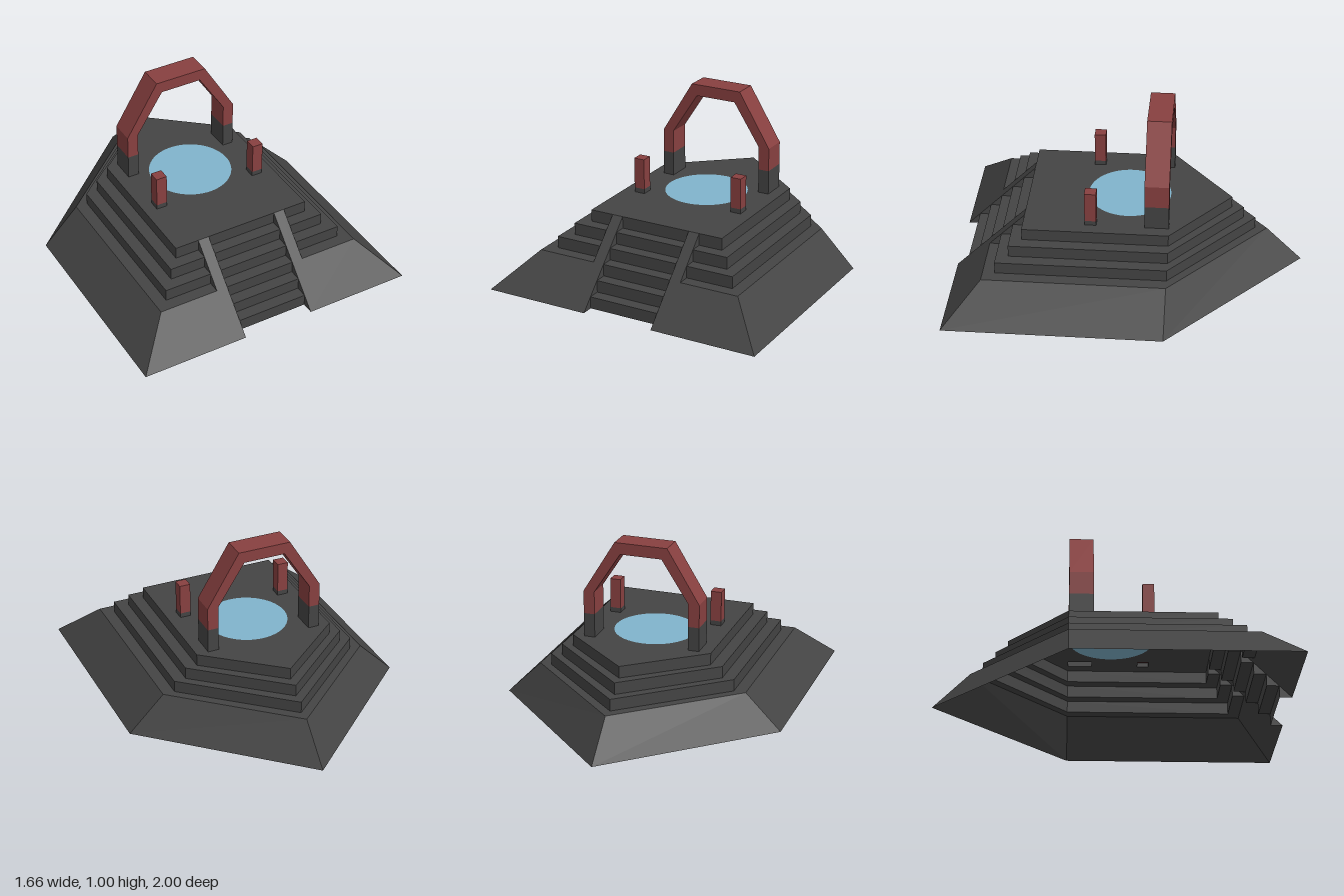
import * as THREE from 'three';

const U = 0.415 / 6;      // rise and run of one step
const TOP = 6 * U;        // height of the upper platform
const STAIR = 0.21;       // half width of the stairs
const CHEEK = 0.275;      // outer edge of the stair cheeks
const CORNER_Z = -0.24;   // where the pointed back begins

const mat = (name, color) => {
  const m = new THREE.MeshStandardMaterial({ color, side: THREE.DoubleSide });
  m.name = name;
  return m;
};

// Flat-shaded surface from a list of triangles and quads
function facets(faces) {
  const pos = [];
  for (const f of faces) {
    for (let i = 1; i < f.length - 1; i++) pos.push(...f[0], ...f[i], ...f[i + 1]);
  }
  const g = new THREE.BufferGeometry();
  g.setAttribute('position', new THREE.Float32BufferAttribute(pos, 3));
  g.computeVertexNormals();
  return g;
}

// Pointed outline at k steps in from the edge, open at the front by half width gap
function outline(k, level, gap) {
  const s = 1 - k * U, w = s - 0.17, y = level * U;
  return [[gap, y, s], [w, y, s], [w, y, CORNER_Z], [0, y, -s],
    [-w, y, CORNER_Z], [-w, y, s], [-gap, y, s]];
}

function band(lower, upper) {
  return lower.slice(0, -1).map((a, i) => [a, lower[i + 1], upper[i + 1], upper[i]]);
}

function rectPath(x, z, w, d) {
  const p = new THREE.Path();
  p.moveTo(x - w / 2, -z - d / 2);
  p.lineTo(x + w / 2, -z - d / 2);
  p.lineTo(x + w / 2, -z + d / 2);
  p.lineTo(x - w / 2, -z + d / 2);
  p.closePath();
  return p;
}

// Four walls without top or bottom
function walls(x, z, w, d, y0, y1) {
  const c = [[-1, 1], [1, 1], [1, -1], [-1, -1], [-1, 1]].map(([a, b]) => [x + a * w / 2, z + b * d / 2]);
  return facets(band(c.map(([a, b]) => [a, y0, b]), c.map(([a, b]) => [a, y1, b])));
}

export function createModel() {
  const model = new THREE.Group();
  const stone = mat('darkStone', 0x444444);
  const red = mat('redPaint', 0x884040);
  const water = mat('water', 0x80b4cc);
  const add = (name, geometry, material) => {
    const m = new THREE.Mesh(geometry, material);
    m.name = name;
    model.add(m);
    return m;
  };

  // Sloping base
  add('slopedBase', facets(band(outline(0, 0, STAIR), outline(3, 3, STAIR))), stone);

  // Three tiers, each a ledge and a riser
  for (let k = 3; k < 6; k++) {
    const inner = outline(k + 1, k, CHEEK);
    add('tier', facets([
      ...band(outline(k, k, CHEEK), inner),
      ...band(inner, outline(k + 1, k + 1, CHEEK)),
    ]), stone);
  }

  // Stairs
  const steps = [];
  for (let k = 0; k < 6; k++) {
    const y0 = k * U, y1 = y0 + U, z1 = 1 - y1, z2 = z1 - U;
    steps.push([[-STAIR, y0, z1], [STAIR, y0, z1], [STAIR, y1, z1], [-STAIR, y1, z1]]);
    if (k < 5) steps.push([[-STAIR, y1, z1], [STAIR, y1, z1], [STAIR, y1, z2], [-STAIR, y1, z2]]);
  }
  add('stairs', facets(steps), stone);

  // Sloping cheeks beside the stairs, with the small triangles on their sides
  for (const s of [1, -1]) {
    const faces = [];
    const z3 = 1 - 3 * U, z6 = 1 - TOP;
    const lo = Math.min(s * STAIR, s * CHEEK), hi = Math.max(s * STAIR, s * CHEEK);
    faces.push([[lo, 3 * U, z3], [hi, 3 * U, z3], [hi, TOP, z6], [lo, TOP, z6]]);
    const side = (x, k, facing) => {
      const y = k * U, z = 1 - y;
      const t = [[x, y, z], [x, y, z - U], [x, y + U, z - U]];
      faces.push(facing > 0 ? t : t.reverse());
    };
    for (let k = 0; k < 6; k++) side(s * STAIR, k, -s);
    for (let k = 3; k < 6; k++) side(s * CHEEK, k, s);
    add(s > 0 ? 'leftCheek' : 'rightCheek', facets(faces), stone);
  }

  // Upper platform, open under the pool and the uprights
  const s = 1 - TOP, w = s - 0.17;
  const deck = new THREE.Shape([[w, -s], [w, -CORNER_Z], [0, s], [-w, -CORNER_Z], [-w, -s]]
    .map(([x, y]) => new THREE.Vector2(x, y)));
  const poolR = 0.238, poolZ = 0.005;
  deck.holes.push(new THREE.Path().absarc(0, -poolZ, poolR, 0, Math.PI * 2, true));
  const post = { x: 0.311, z: 0.203, w: 0.064, d: 0.066 };
  const leg = { x: 0.3125, z: -0.17, w: 0.065, d: 0.138 };
  for (const m of [1, -1]) {
    for (const p of [post, leg]) deck.holes.push(rectPath(m * p.x, p.z, p.w, p.d));
  }
  const deckGeo = new THREE.ShapeGeometry(deck, 32);
  deckGeo.rotateX(-Math.PI / 2);
  add('platform', deckGeo, stone).position.y = TOP;

  // Round pool flush with the platform
  const pool = new THREE.CircleGeometry(poolR, 64);
  pool.rotateX(-Math.PI / 2);
  add('pool', pool, water).position.set(0, TOP, poolZ);

  // Front posts and stone feet of the arch
  for (const m of [1, -1]) {
    add('postFoot', walls(m * post.x, post.z, post.w, post.d, TOP, 0.442), stone);
    add('post', new THREE.BoxGeometry(post.w, 0.18, post.d), red).position.set(m * post.x, 0.532, post.z);
    add('archFoot', walls(m * leg.x, leg.z, leg.w, leg.d, TOP, 0.555), stone);
  }

  // Angular arch
  const half = [[0.345, 0.555], [0.345, 0.69], [0.155, 1]];
  const inner = [[0.122, 0.933], [0.28, 0.69], [0.28, 0.555]];
  const flip = (a) => a.map(([x, y]) => [-x, y]).reverse();
  const arch = new THREE.Shape([...half, ...flip(half), ...flip(inner), ...inner]
    .map(([x, y]) => new THREE.Vector2(x, y)));
  const archGeo = new THREE.ExtrudeGeometry(arch, { depth: leg.d, bevelEnabled: false });
  add('arch', archGeo, red).position.z = leg.z - leg.d / 2;

  return model;
}
